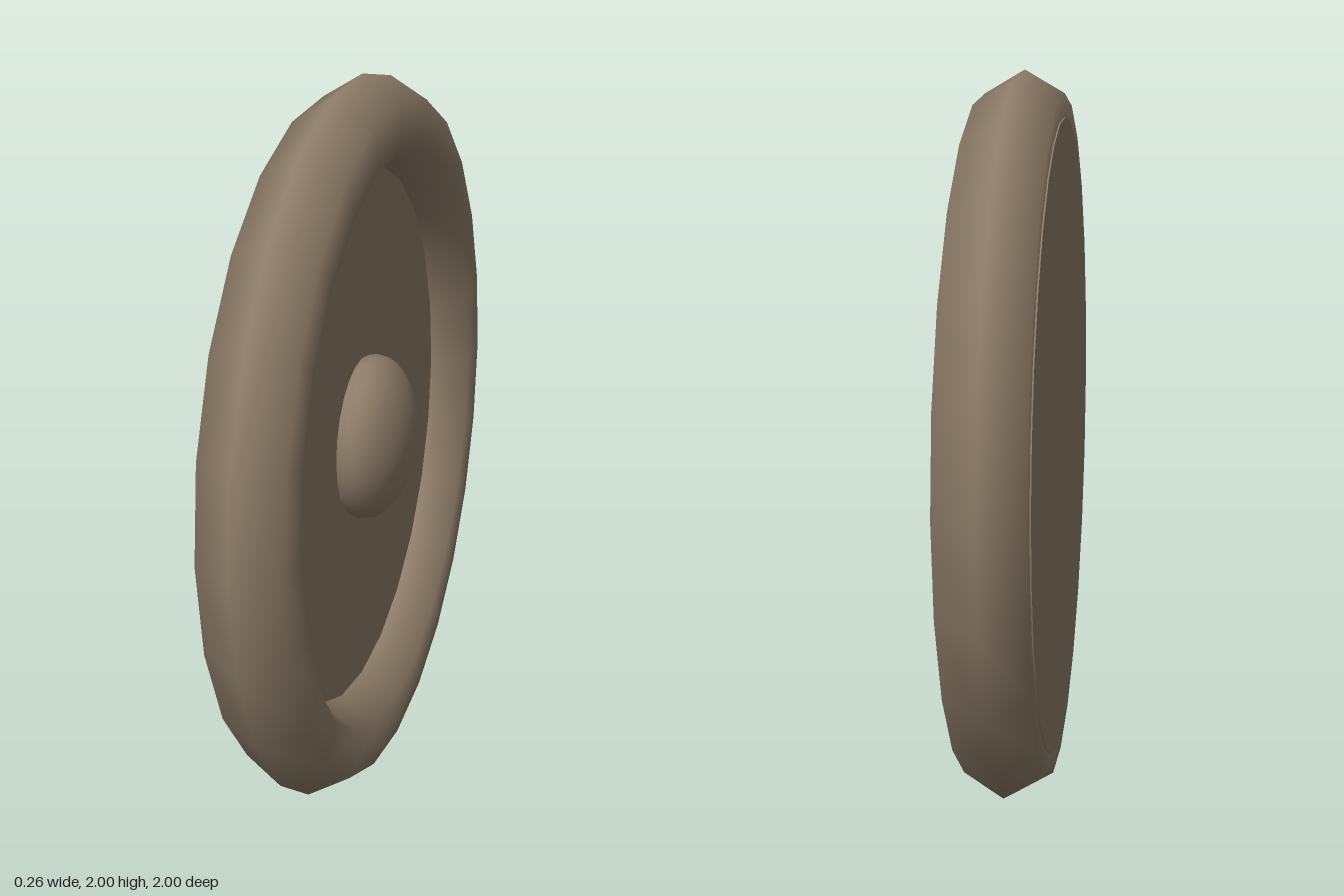
import * as THREE from 'three';

export function createModel() {
  const group = new THREE.Group();
  const brown = new THREE.MeshStandardMaterial({ color: 0x8c7b67 });
  brown.name = 'brown';

  // Every part is round about the x axis, at height 1
  const add = (name, geometry, x) => {
    const mesh = new THREE.Mesh(geometry, brown);
    mesh.name = name;
    mesh.position.set(x, 1, 0);
    group.add(mesh);
  };

  // Outer rim: six-sided tube in 24 steps
  add('rim', new THREE.TorusGeometry(0.876, 0.124, 6, 24).rotateY(Math.PI / 2), -0.017);

  // Flat plate, slightly proud of the rim at the back
  const backX = -0.128, faceX = -0.021;
  add('plate',
    new THREE.CylinderGeometry(0.876, 0.876, faceX - backX, 32).rotateZ(-Math.PI / 2),
    (backX + faceX) / 2);

  // Flattened central boss
  add('boss',
    new THREE.SphereGeometry(1, 24, 16).rotateZ(-Math.PI / 2).scale(0.122, 0.233, 0.233),
    0.006);

  return group;
}
